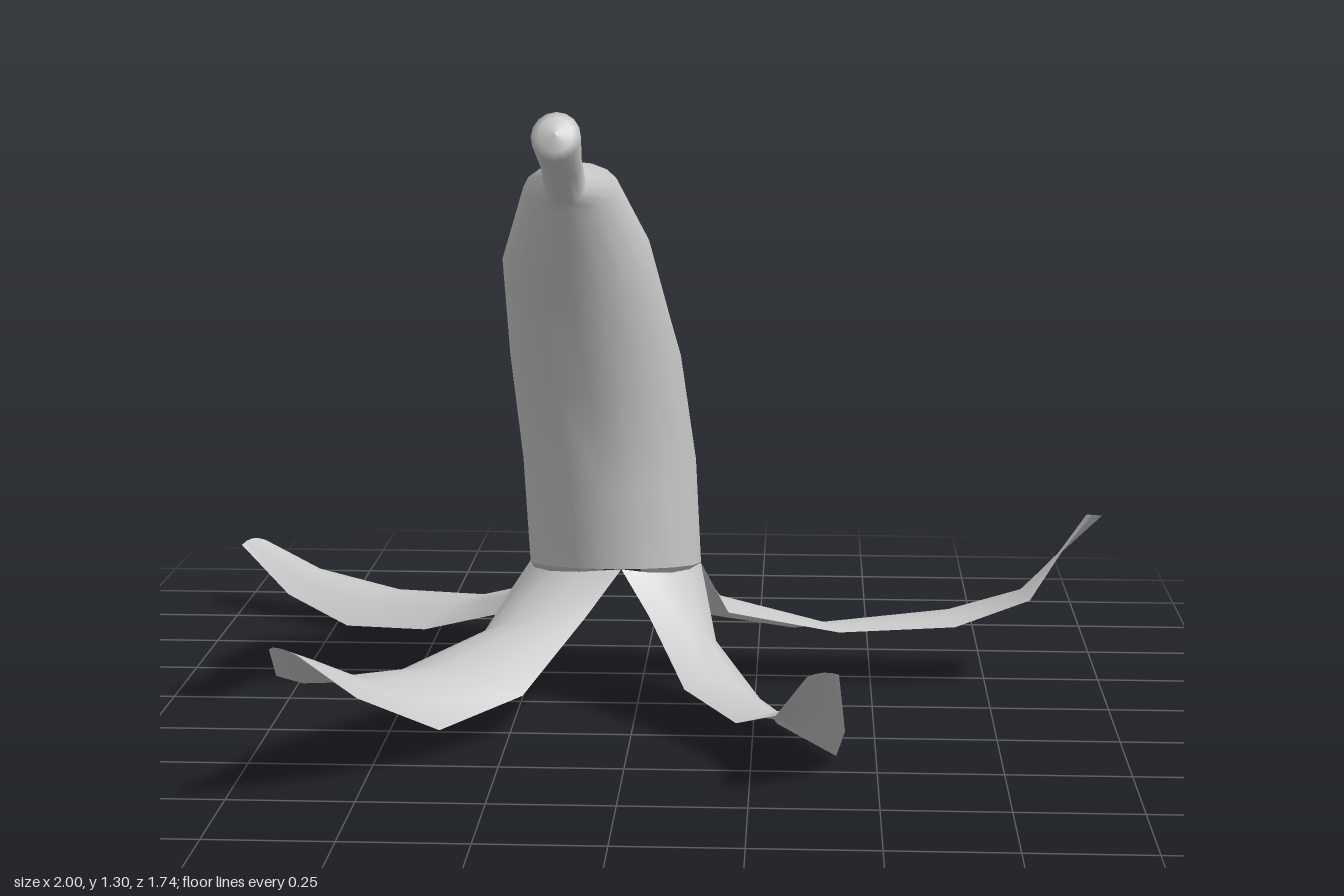
import * as THREE from 'three';

const material = new THREE.MeshStandardMaterial({ color: 0xcccccc, side: THREE.DoubleSide });

// Skin a list of cross-sections (arrays of Vector3), optionally closed around
function loft(name, rows, closed) {
  const n = rows[0].length;
  const positions = rows.flat().flatMap((p) => [p.x, p.y, p.z]);
  const index = [];
  for (let i = 0; i < rows.length - 1; i++) {
    for (let j = 0; j < (closed ? n : n - 1); j++) {
      const k = (j + 1) % n;
      const a = i * n + j, b = i * n + k, c = (i + 1) * n + j, d = (i + 1) * n + k;
      index.push(a, b, c, b, d, c);
    }
  }
  const geometry = new THREE.BufferGeometry();
  geometry.setAttribute('position', new THREE.Float32BufferAttribute(positions, 3));
  geometry.setIndex(index);
  geometry.computeVertexNormals();
  const mesh = new THREE.Mesh(geometry, material);
  mesh.name = name;
  return mesh;
}

// Elliptical ring from its front and back points and its x range
function ring([fz, fy, bz, by, x0, x1]) {
  const sides = 16, points = [];
  for (let j = 0; j < sides; j++) {
    const a = (j / sides) * Math.PI * 2, c = Math.cos(a) / 2, s = Math.sin(a) / 2;
    points.push(new THREE.Vector3(
      (x0 + x1) / 2 + (x1 - x0) * s,
      (fy + by) / 2 + (fy - by) * c,
      (fz + bz) / 2 + (fz - bz) * c
    ));
  }
  return points;
}

// Arched section through one edge, the ridge and the other edge
function arch([a, m, b]) {
  const [p, q, r] = [a, m, b].map((v) => new THREE.Vector3(...v));
  return [0, 0.25, 0.5, 0.75, 1].map((t) => new THREE.Vector3()
    .addScaledVector(p, (1 - t) * (1 - 2 * t))
    .addScaledVector(q, 4 * t * (1 - t))
    .addScaledVector(r, t * (2 * t - 1)));
}

export function createModel() {
  const group = new THREE.Group();

  // Curved peel body, narrowing into the stem: front z, y, back z, y, x range
  const body = [
    [0.08, 0.31, -0.35, 0.25, -0.24, 0.13],
    [0.10, 0.48, -0.28, 0.55, -0.25, 0.12],
    [0.15, 0.68, -0.19, 0.82, -0.27, 0.09],
    [0.27, 0.88, 0.0, 1.06, -0.27, 0.04],
    [0.39, 1.09, 0.24, 1.18, -0.21, -0.02],
    [0.41, 1.11, 0.35, 1.185, -0.165, -0.08],
    [0.52, 1.165, 0.48, 1.24, -0.16, -0.08],
    [0.615, 1.213, 0.57, 1.303, -0.17, -0.075],
    [0.622, 1.23, 0.59, 1.295, -0.155, -0.09],
    [0.615, 1.265, 0.615, 1.265, -0.122, -0.122],
  ];
  group.add(loft('peelBody', body.map(ring), true));

  // Splayed flaps: edge, ridge, edge for each section from root to tip
  const addFlap = (name, rows) => group.add(loft(name, rows.map(arch), false));

  addFlap('frontLeftFlap', [
    [[-0.03, 0.31, 0.08], [0.075, 0.29, 0.015], [0.13, 0.28, -0.13]],
    [[0.03, 0.22, 0.12], [0.14, 0.19, 0.10], [0.17, 0.10, -0.06]],
    [[0.11, 0.10, 0.26], [0.22, 0.105, 0.23], [0.30, 0.0, 0.15]],
    [[0.22, 0.08, 0.44], [0.31, 0.085, 0.43], [0.42, 0.01, 0.42]],
    [[0.30, 0.14, 0.60], [0.37, 0.155, 0.58], [0.435, 0.10, 0.56]],
    [[0.36, 0.25, 0.72], [0.39, 0.265, 0.745], [0.42, 0.255, 0.72]],
  ]);
  addFlap('frontRightFlap', [
    [[-0.24, 0.28, -0.135], [-0.185, 0.29, 0.015], [-0.03, 0.31, 0.08]],
    [[-0.34, 0.13, -0.04], [-0.26, 0.20, 0.10], [-0.10, 0.22, 0.13]],
    [[-0.53, 0.10, 0.23], [-0.38, 0.14, 0.25], [-0.22, 0.09, 0.29]],
    [[-0.64, 0.16, 0.48], [-0.50, 0.17, 0.50], [-0.37, 0.065, 0.47]],
    [[-0.65, 0.24, 0.73], [-0.58, 0.27, 0.72], [-0.50, 0.19, 0.70]],
    [[-0.64, 0.325, 0.86], [-0.62, 0.33, 0.87], [-0.59, 0.31, 0.845]],
  ]);
  addFlap('backLeftFlap', [
    [[0.13, 0.28, -0.13], [0.075, 0.26, -0.285], [-0.05, 0.25, -0.35]],
    [[0.19, 0.17, -0.13], [0.15, 0.18, -0.27], [0.08, 0.11, -0.395]],
    [[0.43, 0.125, -0.145], [0.40, 0.12, -0.26], [0.33, 0.08, -0.37]],
    [[0.68, 0.14, -0.145], [0.68, 0.155, -0.25], [0.66, 0.12, -0.35]],
    [[0.84, 0.20, -0.15], [0.84, 0.21, -0.23], [0.82, 0.175, -0.32]],
    [[0.96, 0.385, -0.18], [0.98, 0.385, -0.175], [0.995, 0.38, -0.195]],
  ]);
  addFlap('backRightFlap', [
    [[-0.05, 0.25, -0.35], [-0.185, 0.26, -0.285], [-0.24, 0.28, -0.135]],
    [[-0.17, 0.13, -0.47], [-0.28, 0.17, -0.36], [-0.32, 0.13, -0.26]],
    [[-0.34, 0.08, -0.63], [-0.43, 0.10, -0.53], [-0.51, 0.05, -0.43]],
    [[-0.57, 0.04, -0.75], [-0.64, 0.085, -0.68], [-0.71, 0.02, -0.58]],
    [[-0.78, 0.08, -0.82], [-0.83, 0.11, -0.78], [-0.87, 0.06, -0.72]],
    [[-0.95, 0.16, -0.87], [-0.98, 0.165, -0.86], [-1.0, 0.155, -0.83]],
  ]);

  return group;
}
